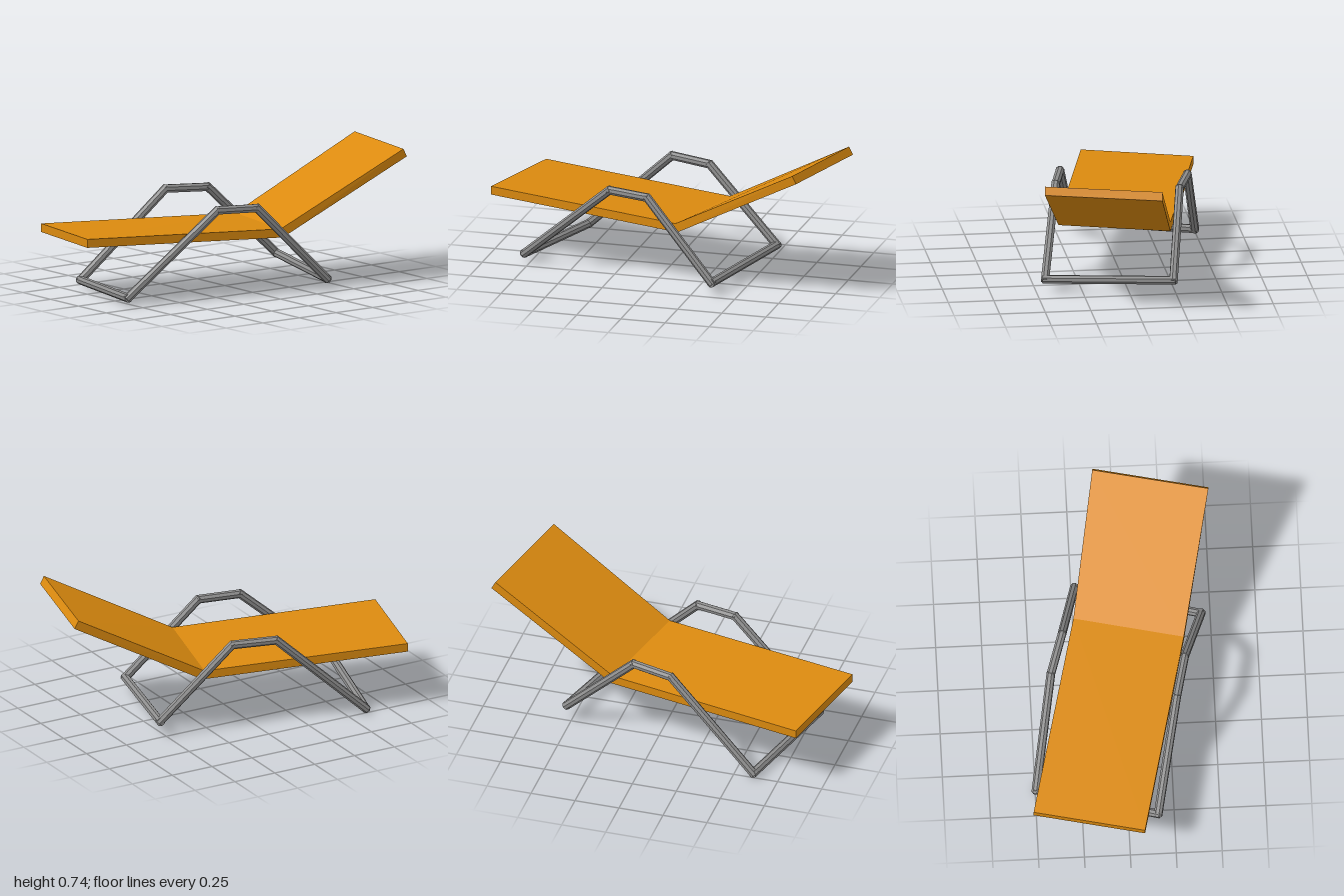
import * as THREE from 'three';

const orange = new THREE.MeshStandardMaterial({ color: 0xdb8a0f });
orange.name = 'orange cushion';
orange.flatShading = true;
const grey = new THREE.MeshStandardMaterial({ color: 0x8e8e8e });
grey.name = 'grey metal';
grey.flatShading = true;

const v = (p) => new THREE.Vector3(...p);

// Straight tube between two points, running slightly past each end
function tube(name, a, b, extra = 0.012, r = 0.024) {
  const dir = v(b).sub(v(a));
  const len = dir.length();
  const mesh = new THREE.Mesh(new THREE.CylinderGeometry(r, r, len + 2 * extra, 8), grey);
  mesh.position.copy(v(a).add(v(b)).multiplyScalar(0.5));
  mesh.quaternion.setFromUnitVectors(new THREE.Vector3(0, 1, 0), dir.normalize());
  mesh.name = name;
  return mesh;
}

// Slab between two cross-sections: [topFront, topBack, bottomBack, bottomFront]
function slab(name, s, e, capStart, capEnd) {
  const pos = [];
  const quad = (a, b, c, d) => [a, b, c, a, c, d].forEach((p) => pos.push(...p));
  for (let i = 0; i < 4; i++) {
    const j = (i + 1) % 4;
    quad(s[i], e[i], e[j], s[j]);
  }
  if (capStart) quad(s[0], s[1], s[2], s[3]);
  if (capEnd) quad(e[3], e[2], e[1], e[0]);
  const g = new THREE.BufferGeometry();
  g.setAttribute('position', new THREE.Float32BufferAttribute(pos, 3));
  g.computeVertexNormals();
  const mesh = new THREE.Mesh(g, orange);
  mesh.name = name;
  return mesh;
}

export function createModel() {
  const group = new THREE.Group();
  group.name = 'sunLounger';

  // Bed: flat seat and raised backrest meeting at a mitred hinge
  const foot = [[-1, 0.385, 0.08], [-0.86, 0.367, -0.52], [-0.86, 0.32, -0.52], [-1, 0.338, 0.08]];
  const hinge = [[0.12, 0.355, 0.345], [0.26, 0.339, -0.25], [0.272, 0.291, -0.248], [0.132, 0.307, 0.348]];
  const head = [[0.83, 0.742, 0.513], [0.972, 0.729, -0.113], [0.995, 0.686, -0.111], [0.852, 0.699, 0.515]];
  group.add(slab('seat', foot, hinge, true, false));
  group.add(slab('backrest', hinge, head, false, true));

  // Side frames: rear leg, armrest, front leg
  const sides = {
    front: [[-0.785, 0.048, 0.162], [-0.27, 0.493, 0.288], [-0.04, 0.488, 0.342], [0.355, 0.07, 0.45]],
    back: [[-0.61, 0.029, -0.495], [-0.11, 0.494, -0.39], [0.125, 0.488, -0.317], [0.528, 0.09, -0.232]],
  };
  for (const [side, p] of Object.entries(sides)) {
    const frame = new THREE.Group();
    frame.name = side + 'SideFrame';
    frame.add(tube('footEndLeg', p[0], p[1]));
    frame.add(tube('armrest', p[1], p[2], 0.008));
    frame.add(tube('headEndLeg', p[2], p[3]));
    group.add(frame);
  }

  // Floor bars joining the two side frames
  group.add(tube('footEndBar', sides.front[0], sides.back[0]));
  group.add(tube('headEndBar', sides.front[3], sides.back[3]));
  return group;
}
